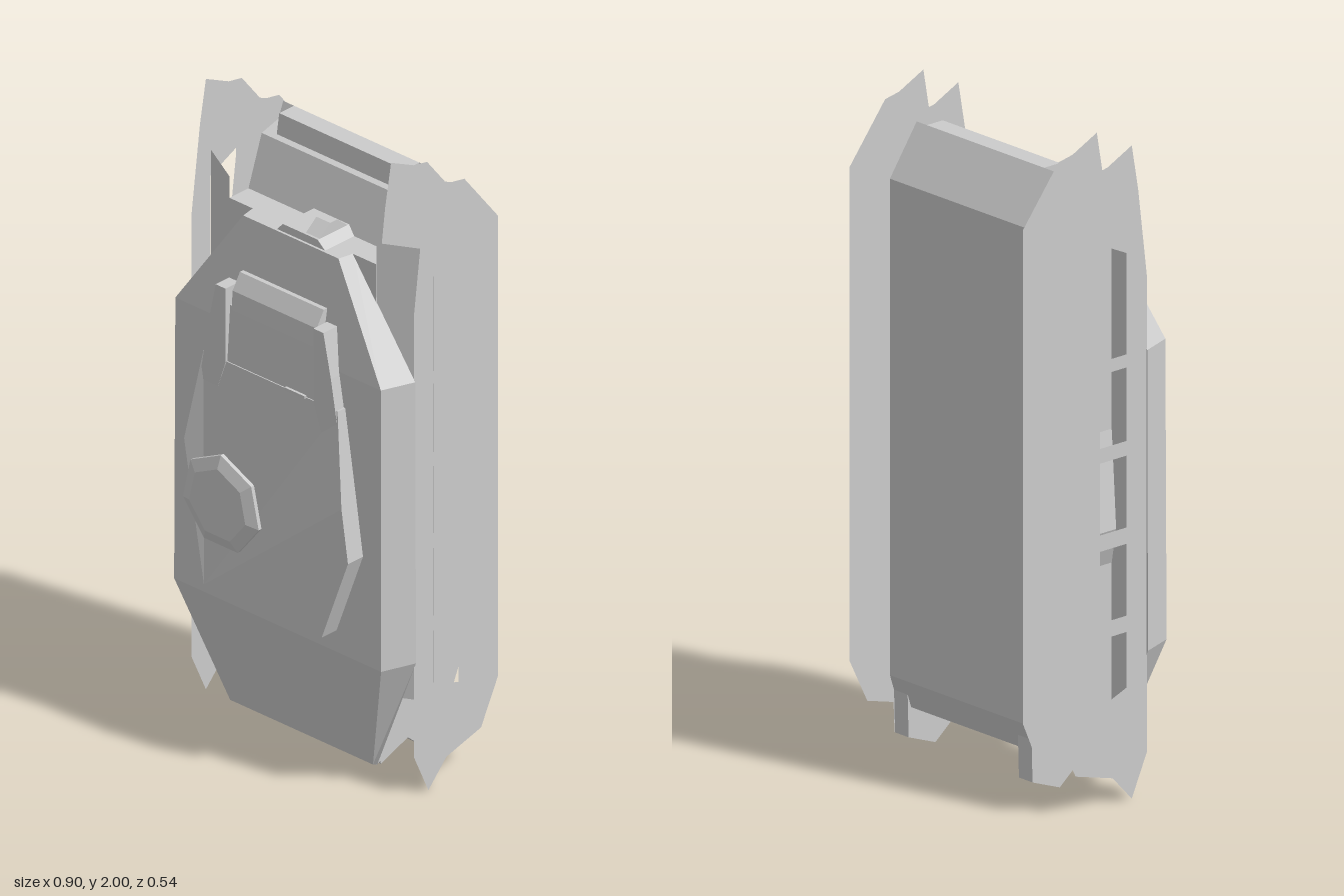
import * as THREE from 'three';

const material = new THREE.MeshStandardMaterial({ color: 0xcccccc, flatShading: true, side: THREE.DoubleSide });

export function createModel() {
  const model = new THREE.Group();
  const add = (name, geometry) => {
    const mesh = new THREE.Mesh(geometry, material);
    mesh.name = name;
    model.add(mesh);
    return mesh;
  };
  const v2 = (list) => list.map(([a, b]) => new THREE.Vector2(a, b));

  // Side profile given as [z, y], extruded along x from x0 to x1
  const sideShape = (profile) => new THREE.Shape(v2(profile.map(([z, y]) => [-z, y])));
  const sideExtrude = (shape, x0, x1) =>
    new THREE.ExtrudeGeometry(shape, { depth: x1 - x0, bevelEnabled: false })
      .rotateY(Math.PI / 2).translate(x0, 0, 0);

  // Solid joined from rings of [x, y, z] points with equal counts
  const loft = (rings) => {
    const n = rings[0].length, index = [];
    for (let r = 0; r < rings.length - 1; r++)
      for (let i = 0; i < n; i++) {
        const a = r * n + i, b = r * n + (i + 1) % n;
        index.push(a, b, b + n, a, b + n, a + n);
      }
    const last = (rings.length - 1) * n;
    for (let i = 1; i < n - 1; i++) index.push(0, i + 1, i, last, last + i, last + i + 1);
    const g = new THREE.BufferGeometry();
    g.setAttribute('position', new THREE.Float32BufferAttribute(rings.flat(2), 3));
    g.setIndex(index);
    const flat = g.toNonIndexed();
    flat.computeVertexNormals();
    return flat;
  };

  // Rear body between the inner plates
  add('hullCore', sideExtrude(sideShape([
    [0.08, 0.05], [-0.22, 0.16], [-0.25, 0.25], [-0.25, 1.77], [-0.145, 1.92],
    [-0.125, 1.87], [-0.055, 1.85], [0, 1.69], [0.08, 1.69],
  ]), -0.293, 0.293));
  add('hullRidge', sideExtrude(sideShape([
    [-0.145, 1.92], [-0.083, 1.92], [-0.06, 1.77], [0, 1.69], [-0.125, 1.8],
  ]), -0.25, 0.25));

  // Faceted armour shell: y, back half width, front half width, front z
  const shell = [
    [0.05, 0.295, 0.285, 0.085], [0.44, 0.45, 0.413, 0.185],
    [1.36, 0.447, 0.41, 0.183], [1.69, 0.2, 0.19, 0.13],
  ];
  add('armourShell', loft(shell.map(([y, wb, wf, z]) =>
    [[-wb, y, 0.078], [-wf, y, z], [wf, y, z], [wb, y, 0.078]])));

  // Raised deck hump and its small sloped hatch block
  add('deckHump', loft([[1.68, 0.07, 0.14], [1.715, 0.04, 0.1]].map(([y, l, r]) =>
    [[-l, y, -0.01], [-l, y, 0.122], [r, y, 0.122], [r, y, -0.01]])));
  add('deckBlock', sideExtrude(sideShape([
    [-0.02, 1.7], [0.04, 1.75], [0.07, 1.75], [0.12, 1.71], [0.12, 1.69], [-0.02, 1.69],
  ]), 0.045, 0.1));

  // Side plates: shared outline, outer ones with five windows
  const outline = [
    [0.02, 2], [-0.075, 1.955], [-0.13, 1.945], [-0.27, 1.77], [-0.27, 0.26], [-0.2, 0.12],
    [-0.055, 0.08], [0.02, 0], [0.08, 0.13], [0.08, 1.58], [0.045, 1.86],
  ];
  const inner = outline.slice();
  inner.splice(5, 3, [-0.235, 0.18], [-0.23, 0.07], [-0.125, 0.03], [-0.05, 0.09], [0.06, 0.05]);
  // Window corners: bottom front, bottom back, top back, top front heights
  const windows = [
    [1.365, 1.365, 1.725, 1.675], [1.1, 1.1, 1.325, 1.325], [0.835, 0.835, 1.055, 1.055],
    [0.565, 0.565, 0.785, 0.785], [0.345, 0.305, 0.515, 0.515],
  ];
  for (const side of [-1, 1]) {
    const label = side > 0 ? 'left' : 'right';
    const outer = sideShape(outline);
    for (const [a, b, c, d] of windows)
      outer.holes.push(new THREE.Path(v2([[0, a], [0.105, b], [0.105, c], [0, d]])));
    add(label + 'OuterPlate', new THREE.ShapeGeometry(outer).rotateY(Math.PI / 2).translate(side * 0.444, 0, 0));
    add(label + 'InnerPlate', new THREE.ShapeGeometry(sideShape(inner)).rotateY(Math.PI / 2)
      .translate(side * 0.295, 0, 0));
    // Slanted web joining the two plates
    const web = new THREE.PlaneGeometry(0.17, 1.48);
    web.rotateY(side * Math.atan2(0.08, 0.15)).translate(side * 0.369, 1.02, 0.039);
    add(label + 'PlateWeb', web);
    // Lower end housings
    add(label + 'LowerHousing', sideExtrude(sideShape([
      [-0.235, 0.24], [-0.23, 0.07], [-0.125, 0.03], [-0.05, 0.09], [0.06, 0.045], [0.07, 0.09],
    ]), side > 0 ? 0.235 : -0.293, side > 0 ? 0.293 : -0.235));
    // Collar arms on either side of the mantlet
    add(label + 'TurretArm', loft([0.12, 0.219].map((z) => [
      [0.28, 0.94], [0.317, 0.94], [0.245, 1.35], [0.215, 1.49], [0.175, 1.49], [0.175, 1.25],
    ].map(([x, y]) => [x * side, y, z]))));
  }

  // Turret: six-sided block running through the shell, front face sloping back at the top
  const turret = [[-0.235, 0.51], [0.235, 0.51], [0.34, 0.79], [0.314, 0.96], [0.268, 1.25],
    [-0.268, 1.25], [-0.314, 0.96], [-0.34, 0.79]];
  const slope = (y) => 0.247 - Math.max(0, y - 0.96) * 0.11;
  const back = (y) => -0.03 + Math.abs(y - 0.79) * 0.17;
  add('turretBlock', loft([turret.map(([x, y]) => [x, y, back(y)]),
    turret.map(([x, y]) => [x, y, slope(y)])]));

  // Upper turret slope and mantlet
  add('turretRoof', sideExtrude(sideShape([
    [0.1, 1.2], [0.215, 1.2], [0.2, 1.43], [0.13, 1.43],
  ]), -0.19, 0.19));
  add('mantlet', sideExtrude(sideShape([
    [0.13, 1.42], [0.205, 1.42], [0.2, 1.48], [0.17, 1.53], [0.13, 1.53],
  ]), -0.165, 0.17));
  add('roofLatch', new THREE.BoxGeometry(0.08, 0.01, 0.02).translate(0.1, 1.25, 0.21));

  // Seven-sided cupola with a chamfered rim
  const rim = v2([[0, 0], [0.155, 0], [0.155, 0.012], [0.115, 0.027], [0, 0.027]]);
  add('cupola', new THREE.LatheGeometry(rim, 7, Math.PI).rotateX(Math.PI / 2)
    .translate(-0.158, 0.81, 0.245));

  return model;
}
